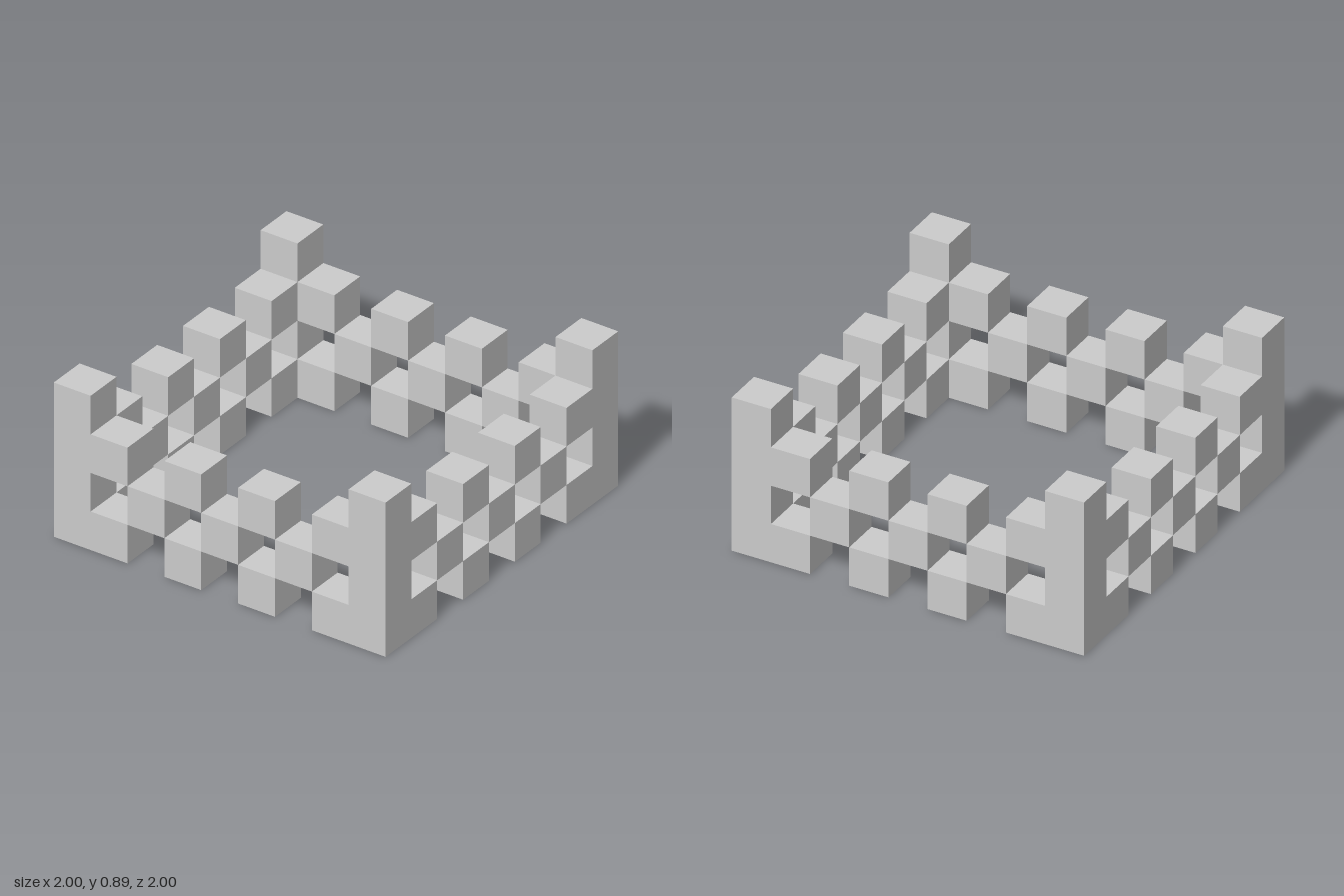
import * as THREE from 'three';

const U = 2 / 9; // one block; the square plan is 9 blocks wide

export function createModel() {
  const model = new THREE.Group();
  model.name = 'latticeFence';
  const material = new THREE.MeshStandardMaterial({ color: 0xcccccc, flatShading: true });
  const cube = new THREE.BoxGeometry(U, U, U);
  const post = new THREE.BoxGeometry(U, 4 * U, U);

  const add = (parent, name, geometry, x, y, z) => {
    const mesh = new THREE.Mesh(geometry, material);
    mesh.name = name;
    mesh.position.set(x * U, y * U, z * U);
    parent.add(mesh);
  };

  // Four identical sides, each with one corner post and a checkered wall
  ['front', 'left', 'back', 'right'].forEach((label, i) => {
    const side = new THREE.Group();
    side.name = label + 'Side';
    side.rotation.y = i * Math.PI / 2;

    add(side, 'cornerPost', post, -4, 2, 4);

    // Three courses of blocks, every second position filled
    for (let row = 0; row < 3; row++) {
      const first = row === 1 ? -2 : -3;
      for (let x = first; x <= -first; x += 2) {
        add(side, ['lowerBlock', 'middleBlock', 'upperBlock'][row], cube, x, row + 0.5, 4);
      }
    }
    model.add(side);
  });

  return model;
}
